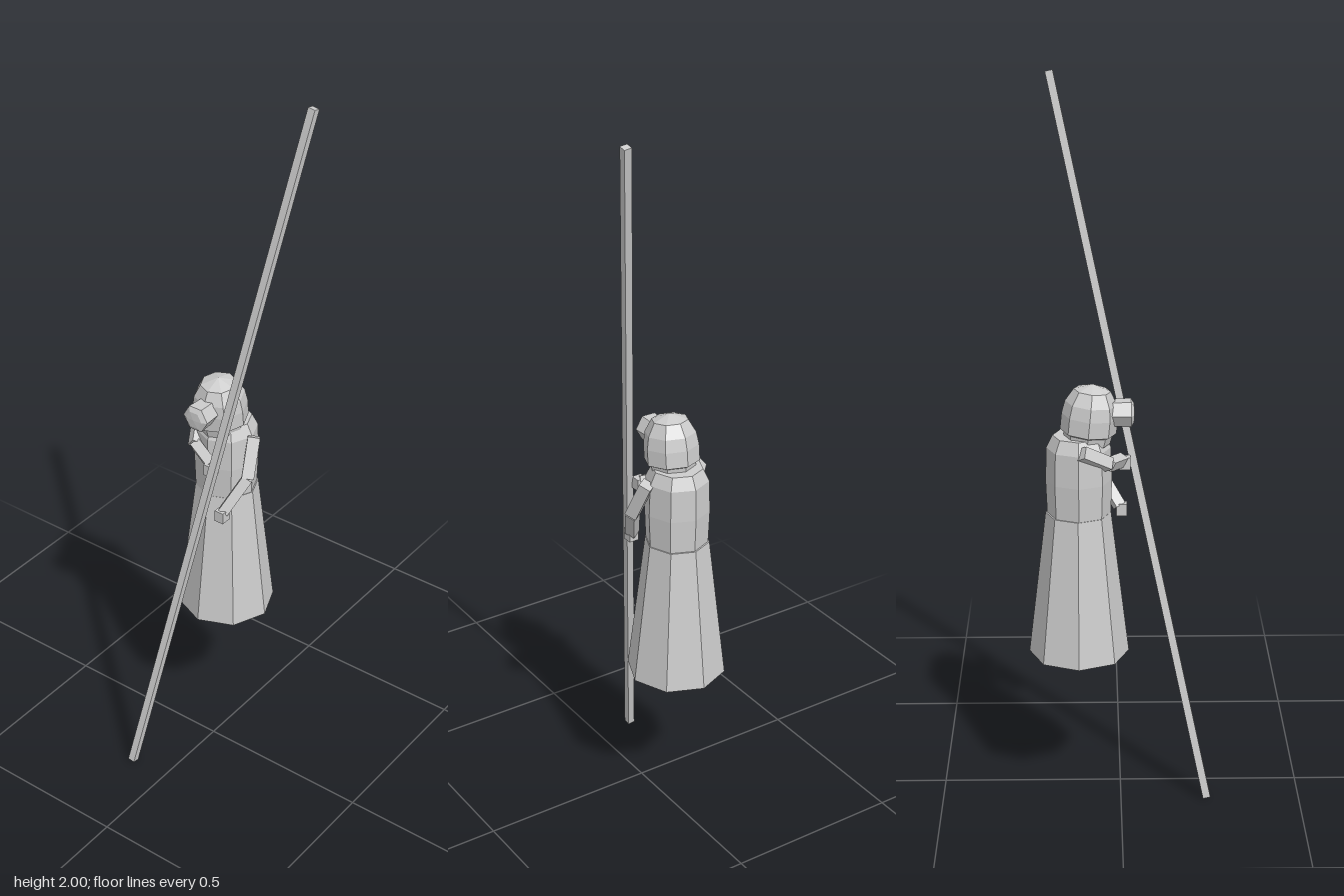
import * as THREE from 'three';

export function createModel() {
  const group = new THREE.Group();
  const stone = new THREE.MeshStandardMaterial({ color: 0xcccccc });
  stone.name = 'paleGrey';
  stone.flatShading = true;

  const add = (name, geometry, x = 0, y = 0, z = 0) => {
    const mesh = new THREE.Mesh(geometry, stone);
    mesh.name = name;
    mesh.position.set(x, y, z);
    group.add(mesh);
    return mesh;
  };

  // Closed solid of revolution from [radius, height] pairs, bottom to top
  const turned = (profile, sides) =>
    new THREE.LatheGeometry(profile.map(([r, y]) => new THREE.Vector2(r, y)), sides);

  // Square bar between two points
  const up = new THREE.Vector3(0, 1, 0);
  const bar = (name, from, to, width) => {
    const a = new THREE.Vector3(...from);
    const b = new THREE.Vector3(...to);
    const dir = b.clone().sub(a);
    const mesh = add(name, new THREE.BoxGeometry(width, dir.length(), width));
    mesh.position.copy(a).add(b).multiplyScalar(0.5);
    mesh.quaternion.setFromUnitVectors(up, dir.normalize());
    return mesh;
  };

  // Robe: flared skirt and torso with sloping shoulders
  add('skirt', turned([[0, 0.425], [0.138, 0.425], [0.089, 0.835], [0, 0.835]], 8), -0.04, 0, -0.115);
  add('torso', turned([[0, 0.825], [0.086, 0.825], [0.09, 0.93], [0.087, 1.02], [0.07, 1.055], [0, 1.055]], 8),
    -0.04, 0, -0.113);

  // Hooded head, leaning slightly forward
  const head = add('head', turned([
    [0, -0.02], [0.062, -0.02], [0.066, 0.005], [0.076, 0.01], [0.076, 0.055], [0.07, 0.09], [0.05, 0.125], [0, 0.142],
  ], 8), -0.04, 1.056, -0.088);
  head.rotation.x = 0.1;

  // Six-sided snout with a shallow point
  const snout = add('snout', turned([[0, -0.05], [0.036, -0.05], [0.04, 0.028], [0.026, 0.036], [0, 0.038]], 6),
    -0.04, 1.117, 0);
  snout.geometry.rotateY(Math.PI / 6);
  snout.rotation.x = Math.PI / 2;

  // Arms: shoulder, elbow, hand
  const arms = {
    left: [[0.055, 1.025, -0.11], [0.07, 0.92, -0.062], [0.032, 0.825, -0.002]],
    right: [[-0.125, 1.03, -0.105], [-0.085, 0.985, -0.032], [0.0, 0.97, 0.006]],
  };
  for (const [side, [shoulder, elbow, hand]] of Object.entries(arms)) {
    bar(side + 'UpperArm', shoulder, elbow, 0.034);
    bar(side + 'Forearm', elbow, hand, 0.029);
    add(side + 'Hand', new THREE.BoxGeometry(0.028, 0.034, 0.03), hand[0], hand[1] - 0.008, hand[2] + 0.006);
  }

  // Long slanted staff
  bar('staff', [-0.114, 0.004, 0.241], [0.167, 1.996, -0.186], 0.021);

  return group;
}
